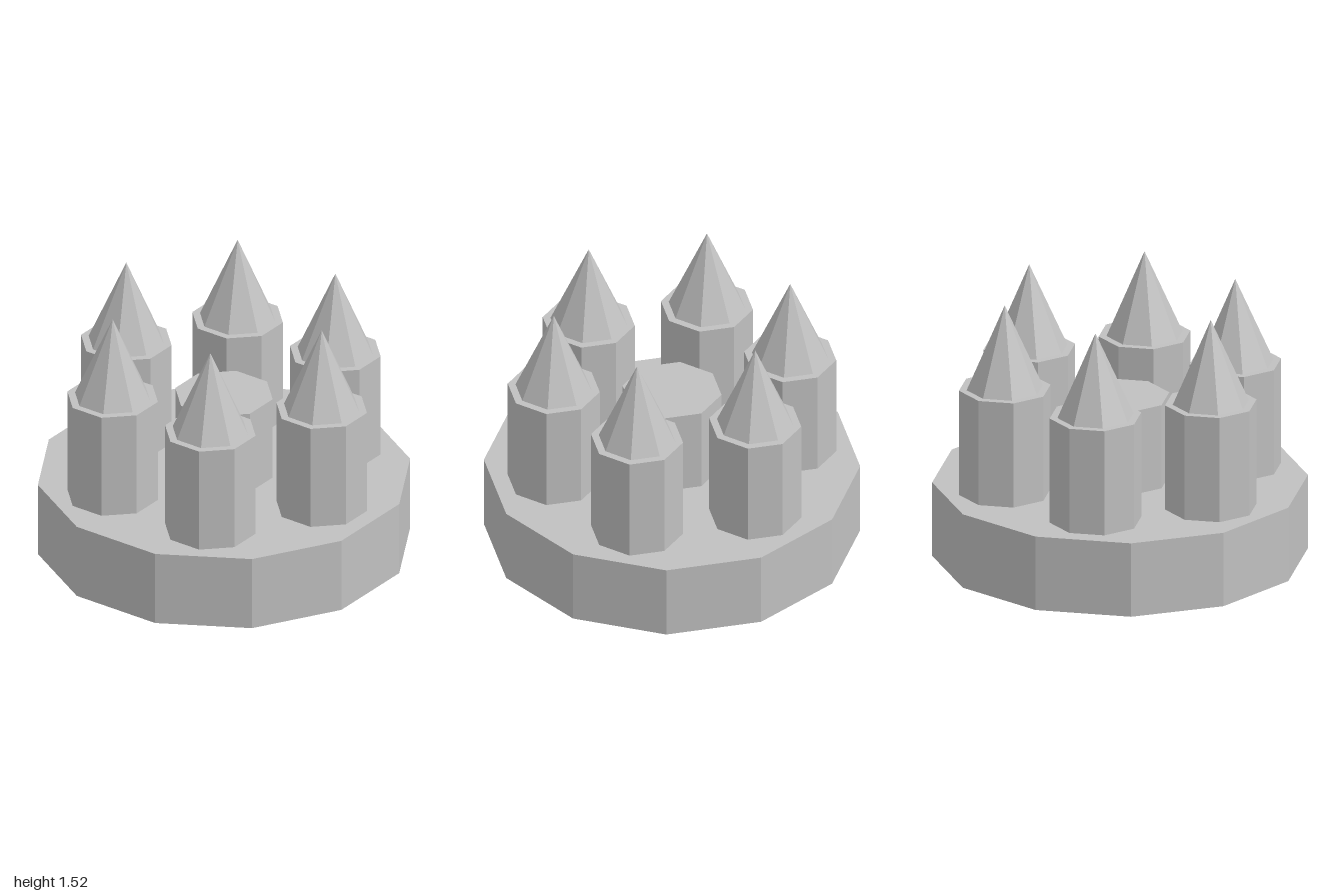
import * as THREE from 'three';

export function createModel() {
  const model = new THREE.Group();
  const grey = new THREE.MeshStandardMaterial({ color: 0xc0c0c0, flatShading: true });
  grey.name = 'lightGrey';

  // Upright prism or pyramid with flat sides facing the axes; sizes measured across flats
  function prism(name, sides, topApothem, apothem, y0, y1) {
    const k = 1 / Math.cos(Math.PI / sides);
    const geometry = new THREE.CylinderGeometry(
      topApothem * k, apothem * k, y1 - y0, sides, 1, false, Math.PI / sides);
    const mesh = new THREE.Mesh(geometry, grey);
    mesh.name = name;
    mesh.position.y = (y0 + y1) / 2;
    return mesh;
  }

  // Twelve-sided base and low central column
  model.add(prism('base', 12, 1, 1, 0, 0.43));
  model.add(prism('centreColumn', 8, 0.255, 0.255, 0.43, 0.917));

  // Ring of six octagonal towers with pointed roofs
  for (let i = 0; i < 6; i++) {
    const angle = (i * Math.PI) / 3;
    const tower = new THREE.Group();
    tower.name = `tower${i + 1}`;
    tower.position.set(Math.cos(angle) * 0.668, 0, Math.sin(angle) * 0.668);
    tower.add(prism('towerBody', 8, 0.237, 0.237, 0.43, 1.04));
    tower.add(prism('towerRoof', 8, 0, 0.197, 1.04, 1.522));
    model.add(tower);
  }
  return model;
}
